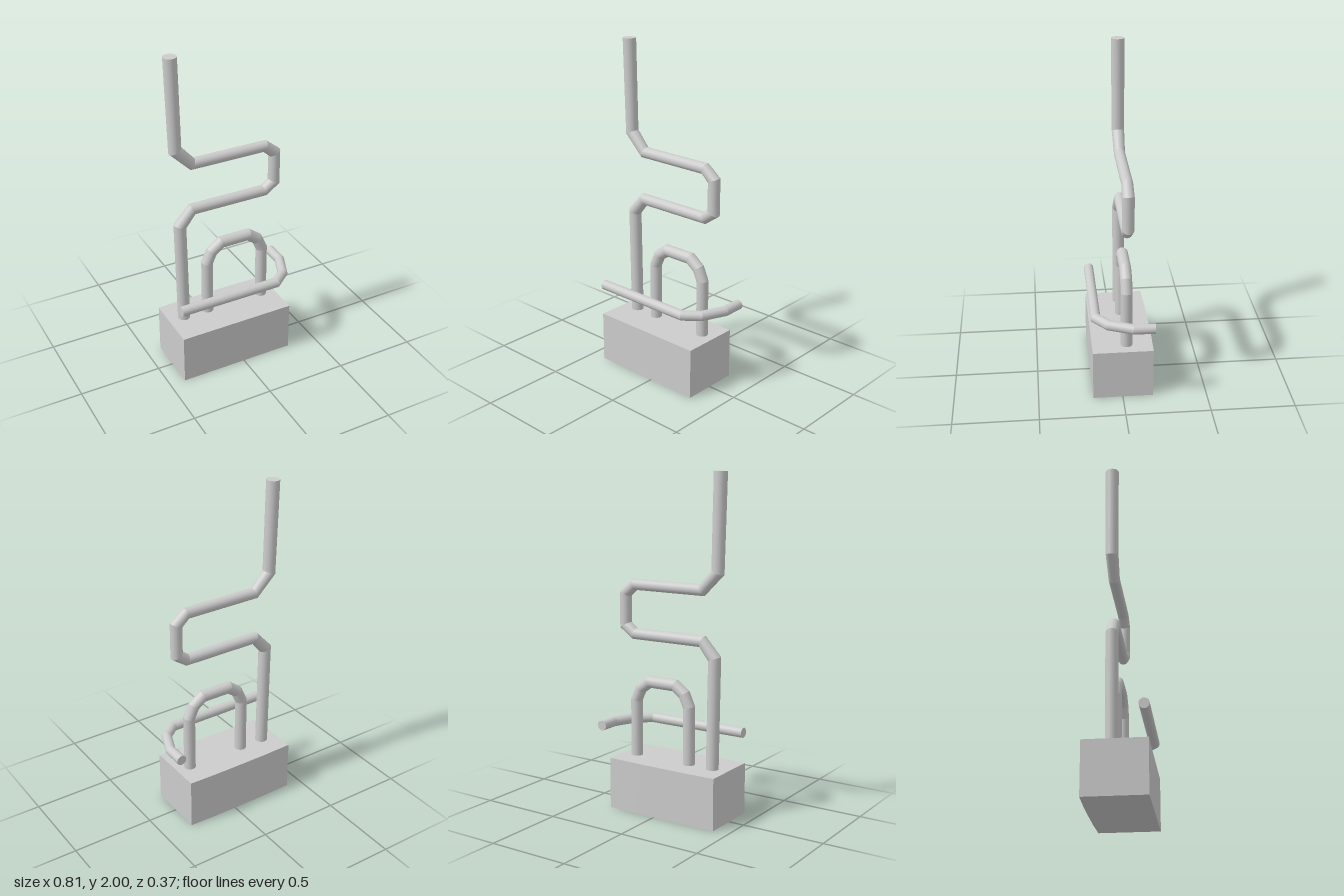
import * as THREE from 'three';

const material = new THREE.MeshStandardMaterial({ color: 0xcccccc });
const V = (x, y, z) => new THREE.Vector3(x, y, z);

// Capped round pipe along a planar path, with mitred bends.
// planeNormal is perpendicular to the path; radii holds one radius per point.
function pipe(name, path, planeNormal, radii, sides = 20) {
  const pos = [], nor = [], idx = [];
  const dirs = path.slice(1).map((p, i) => p.clone().sub(path[i]).normalize());
  const sideOf = (d) => d.clone().cross(planeNormal);

  // sideways vector at each point, stretched so that the bend is a clean mitre
  const mitres = path.map((_, i) => {
    const a = sideOf(dirs[Math.max(i - 1, 0)]);
    const b = sideOf(dirs[Math.min(i, dirs.length - 1)]);
    const m = a.clone().add(b).normalize();
    return m.divideScalar(m.dot(a));
  });
  const rim = (i, t) => path[i].clone()
    .addScaledVector(planeNormal, radii[i] * Math.cos(t))
    .addScaledVector(mitres[i], radii[i] * Math.sin(t));
  const add = (p, n) => {
    pos.push(p.x, p.y, p.z);
    nor.push(n.x, n.y, n.z);
    return pos.length / 3 - 1;
  };

  // straight runs, each with its own normals so the bends stay crisp
  dirs.forEach((d, s) => {
    const side = sideOf(d);
    const base = pos.length / 3;
    for (let k = 0; k <= sides; k++) {
      const t = (k / sides) * Math.PI * 2;
      const n = planeNormal.clone().multiplyScalar(Math.cos(t)).addScaledVector(side, Math.sin(t));
      add(rim(s, t), n);
      add(rim(s + 1, t), n);
      if (k < sides) {
        const a = base + 2 * k;
        idx.push(a, a + 2, a + 3, a, a + 3, a + 1);
      }
    }
  });

  // end caps
  for (const [i, d, flip] of [[0, dirs[0].clone().negate(), true],
    [path.length - 1, dirs[dirs.length - 1], false]]) {
    const c = add(path[i], d);
    for (let k = 0; k <= sides; k++) add(rim(i, (k / sides) * Math.PI * 2), d);
    for (let k = 1; k <= sides; k++) {
      if (flip) idx.push(c, c + k + 1, c + k);
      else idx.push(c, c + k, c + k + 1);
    }
  }

  const g = new THREE.BufferGeometry();
  g.setAttribute('position', new THREE.Float32BufferAttribute(pos, 3));
  g.setAttribute('normal', new THREE.Float32BufferAttribute(nor, 3));
  g.setIndex(idx);
  const mesh = new THREE.Mesh(g, material);
  mesh.name = name;
  return mesh;
}

export function createModel() {
  const model = new THREE.Group();
  model.name = 'pipeAssembly';

  // Base block, its back very slightly bowed (shape y becomes -z)
  const outline = new THREE.Shape([
    [-0.405, -0.176], [0.315, -0.176], [0.315, 0.181],
    [0.14, 0.186], [-0.05, 0.187], [-0.23, 0.186], [-0.405, 0.181],
  ].map(([x, y]) => new THREE.Vector2(x, y)));
  const block = new THREE.ExtrudeGeometry(outline, { depth: 0.308, bevelEnabled: false });
  block.rotateX(-Math.PI / 2);
  const base = new THREE.Mesh(block, material);
  base.name = 'baseBlock';
  model.add(base);

  // Tall winding pipe
  const upright = (pts) => pts.map(([x, y]) => V(x, y, -0.029));
  model.add(pipe('windingPipe', upright([
    [-0.305, 0.3], [-0.315, 0.955], [-0.235, 1.047], [0.235, 1.047], [0.301, 1.095],
    [0.301, 1.285], [0.235, 1.34], [-0.23, 1.34], [-0.332, 1.447], [-0.345, 2],
  ]), V(0, 0, 1), [0.037, 0.037, 0.033, 0.033, 0.035, 0.035, 0.033, 0.033, 0.037, 0.039]));

  // Arched pipe
  model.add(pipe('archedPipe', upright([
    [-0.145, 0.3], [-0.145, 0.65], [-0.113, 0.722], [-0.051, 0.768],
    [0.131, 0.768], [0.193, 0.722], [0.225, 0.65], [0.225, 0.3],
  ]), V(0, 0, 1), Array(8).fill(0.035)));

  // Horizontal rail across the front, curling back on the left
  model.add(pipe('frontRail', [
    [-0.405, 0.153], [0.228, 0.153], [0.315, 0.083], [0.374, -0.058], [0.375, -0.181],
  ].map(([x, z]) => V(x, 0.497, z)), V(0, 1, 0), Array(5).fill(0.03)));

  return model;
}
